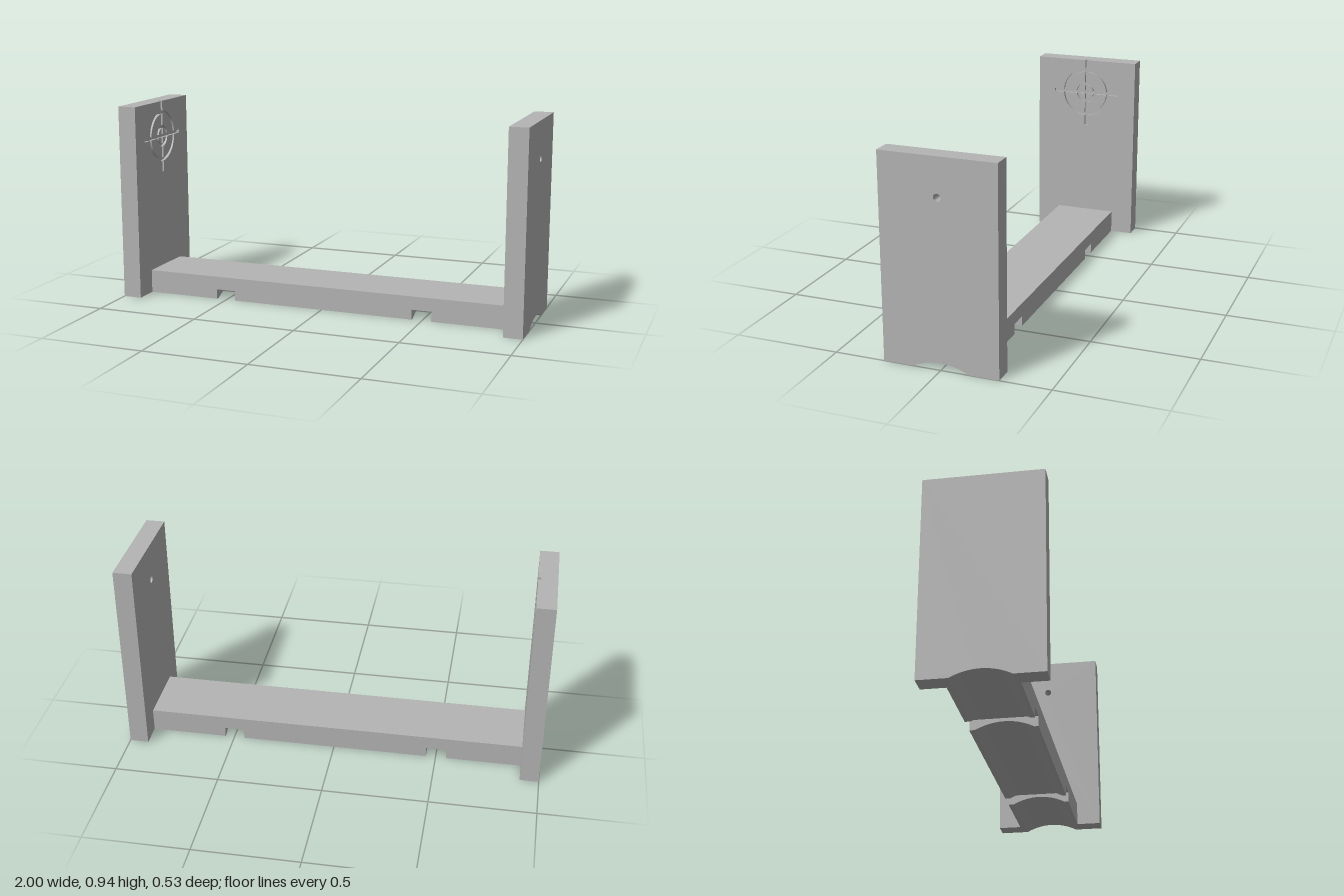
import * as THREE from 'three';
import { toCreasedNormals } from 'three/addons/utils/BufferGeometryUtils.js';

const HALF_Z = 0.267, HEIGHT = 0.945, INNER_X = 0.91;
const ARCH_HALF = 0.13, ARCH_RISE = 0.033;
const TARGET_Y = 0.77, HOLE_R = 0.017;
const GROOVE = 0.008, GROOVE_DEPTH = 0.015, ARM = 0.18;

export function createModel() {
  const group = new THREE.Group();
  const gray = new THREE.MeshStandardMaterial({ color: 0xb4b4b4 });
  gray.name = 'plain gray';

  // Extrudes a (-z, y) profile along x between two positions
  const slab = (name, shapes, x0, x1) => {
    const geo = new THREE.ExtrudeGeometry(shapes, { depth: x1 - x0, bevelEnabled: false, curveSegments: 32 });
    geo.rotateY(Math.PI / 2);
    geo.translate(x0, 0, 0);
    const mesh = new THREE.Mesh(toCreasedNormals(geo, 0.4), gray);
    mesh.name = name;
    group.add(mesh);
  };

  // Points of the shallow arch along the underside
  const archR = (ARCH_HALF ** 2 + ARCH_RISE ** 2) / (2 * ARCH_RISE);
  const arch = [];
  for (let i = 0; i <= 24; i++) {
    const u = -ARCH_HALF + (2 * ARCH_HALF * i) / 24;
    arch.push(new THREE.Vector2(u, ARCH_RISE - archR + Math.sqrt(archR * archR - u * u)));
  }
  const archedPoints = (u0, u1, top) => [
    new THREE.Vector2(u0, 0), ...arch, new THREE.Vector2(u1, 0),
    new THREE.Vector2(u1, top), new THREE.Vector2(u0, top),
  ];
  const wallPoints = archedPoints(-HALF_Z, HALF_Z, HEIGHT);

  // Left wall with a round peep hole
  const leftWall = new THREE.Shape(wallPoints);
  leftWall.holes.push(new THREE.Path().absarc(0, TARGET_Y, HOLE_R, 0, Math.PI * 2, true));
  slab('leftWall', leftWall, INNER_X, 1);

  // Right wall: solid back plus a thin inner layer cut by the target grooves
  slab('rightWall', new THREE.Shape(wallPoints), -1, -INNER_X - GROOVE_DEPTH);

  // Quarter arc that stops short of the crosshair arms
  const quarterArc = (r, q) => {
    const a = Math.asin(GROOVE / r), pts = [];
    for (let i = 0; i <= 12; i++) {
      const t = q * Math.PI / 2 + a + (Math.PI / 2 - 2 * a) * i / 12;
      pts.push(new THREE.Vector2(r * Math.cos(t), TARGET_Y + r * Math.sin(t)));
    }
    return pts;
  };
  const spun = (u, v, q) => {
    const p = new THREE.Vector2(u, v).rotateAround(new THREE.Vector2(), q * Math.PI / 2);
    p.y += TARGET_Y;
    return p;
  };

  // Surface around the outer ring, its top arm open at the wall's top edge
  const outline = [...wallPoints, new THREE.Vector2(-GROOVE, HEIGHT)];
  for (const q of [1, 2, 3, 0]) {
    outline.push(...quarterArc(0.127, q));
    if (q !== 0) outline.push(spun(ARM, -GROOVE, q + 1), spun(ARM, GROOVE, q + 1));
  }
  outline.push(new THREE.Vector2(GROOVE, HEIGHT));
  // The wall outline ends at its top corner, so the notch is walked right along the top
  slab('targetSurround', new THREE.Shape([
    ...wallPoints.slice(0, -1),
    ...outline.slice(wallPoints.length).reverse(),
    wallPoints[wallPoints.length - 1],
  ]), -INNER_X - GROOVE_DEPTH, -INNER_X);

  // Raised islands left between the rings and arms
  for (let q = 0; q < 4; q++) {
    slab('targetBand', new THREE.Shape([...quarterArc(0.111, q), ...quarterArc(0.054, q).reverse()]),
      -INNER_X - GROOVE_DEPTH, -INNER_X);
    slab('targetCentre', new THREE.Shape([...quarterArc(0.038, q), spun(GROOVE, GROOVE, q)]),
      -INNER_X - GROOVE_DEPTH, -INNER_X);
  }

  // Base board in three arched sections, bridged above the two cross slots
  const U0 = -0.149, U1 = 0.156, TOP = 0.112, SLOT = 0.048;
  const board = new THREE.Shape(archedPoints(U0, U1, TOP));
  const bridge = new THREE.Shape([
    new THREE.Vector2(U0, SLOT), new THREE.Vector2(U1, SLOT),
    new THREE.Vector2(U1, TOP), new THREE.Vector2(U0, TOP),
  ]);
  const cuts = [-INNER_X, -0.55, -0.453, 0.45, 0.545, INNER_X];
  for (let i = 0; i < 5; i++) {
    slab(i % 2 ? 'slotBridge' : 'baseBoard', i % 2 ? bridge : board, cuts[i], cuts[i + 1]);
  }
  return group;
}
